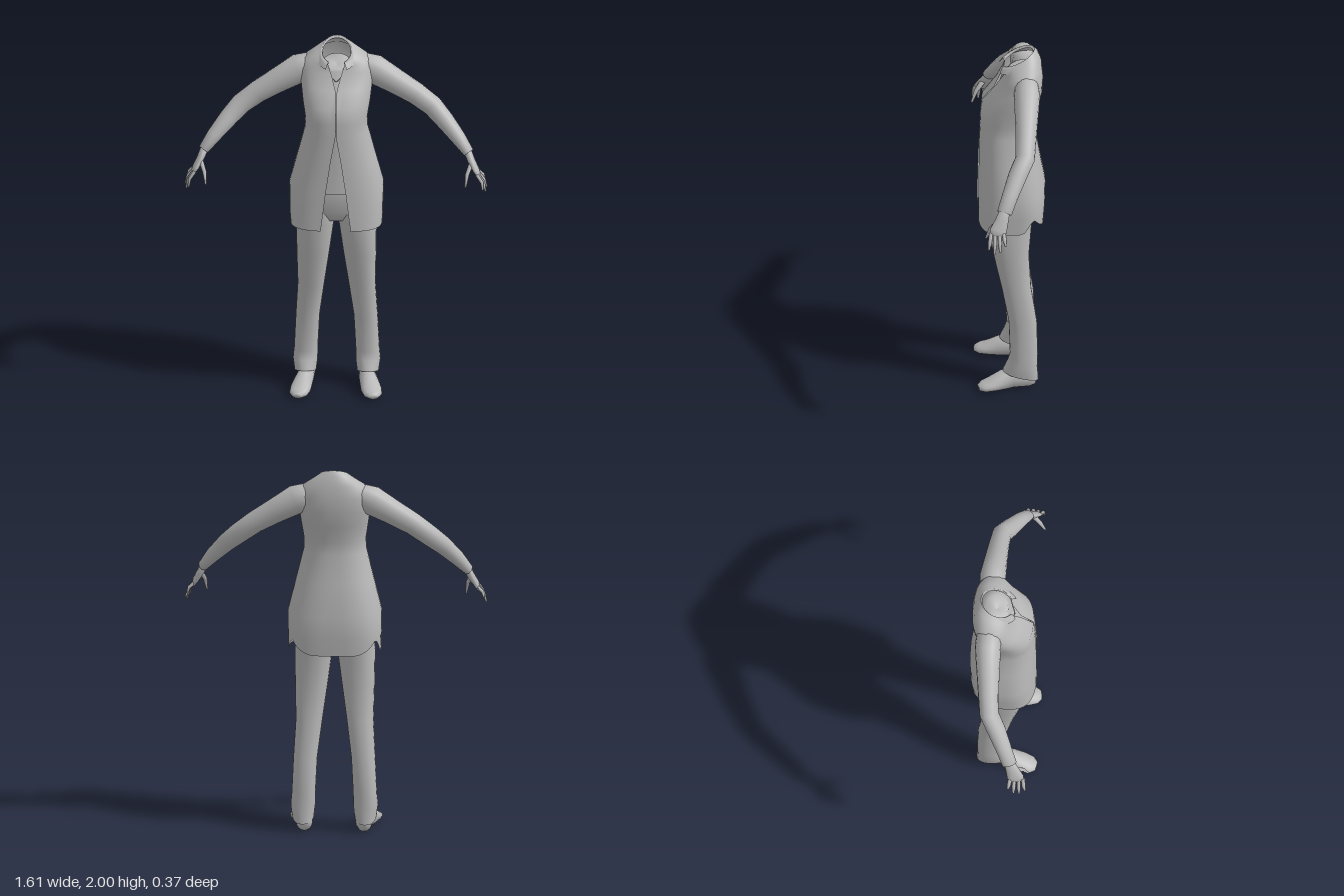
import * as THREE from 'three';

const grey = new THREE.MeshStandardMaterial({ color: 0xb8b8b8, side: THREE.DoubleSide });
grey.name = 'plain grey';

// Skin a list of equally long rows of points; closed rows wrap around
function loft(name, rows, closed = true) {
  const n = rows[0].length, index = [];
  const spans = closed ? n : n - 1;
  for (let i = 0; i < rows.length - 1; i++) {
    for (let j = 0; j < spans; j++) {
      const a = i * n + j, b = i * n + (j + 1) % n;
      index.push(a, b, b + n, a, b + n, a + n);
    }
  }
  const geo = new THREE.BufferGeometry().setFromPoints(rows.flat());
  geo.setIndex(index);
  geo.computeVertexNormals();
  const mesh = new THREE.Mesh(geo, grey);
  mesh.name = name;
  return mesh;
}

// Level superellipse ring starting at the front; gap leaves an opening there
// and tilt lowers the front while raising the back
function ring({ x = 0, y, w, f, b, n = 2, gap = 0, tilt = 0 }, count = 24) {
  const open = gap > 0;
  const t0 = open ? Math.asin(Math.pow(gap / w, n / 2)) : 0;
  const zc = (f + b) / 2, d = (f - b) / 2;
  const pow = (v) => Math.sign(v) * Math.pow(Math.abs(v), 2 / n);
  return Array.from({ length: count }, (_, i) => {
    const t = t0 + (i / (open ? count - 1 : count)) * (2 * Math.PI - 2 * t0);
    return new THREE.Vector3(x + w * pow(Math.sin(t)), y - tilt * Math.cos(t), zc + d * pow(Math.cos(t)));
  });
}

// Capped tube through [x, y, z, radiusA, radiusB]; radiusB lies along ref
function limb(name, pts, ref = new THREE.Vector3(0, 0, 1), count = 12) {
  const p = pts.map((q) => new THREE.Vector3(q[0], q[1], q[2]));
  const rows = p.map((c, i) => {
    const t = p[Math.min(i + 1, p.length - 1)].clone().sub(p[Math.max(i - 1, 0)]).normalize();
    const bAxis = ref.clone().addScaledVector(t, -ref.dot(t)).normalize();
    const aAxis = new THREE.Vector3().crossVectors(bAxis, t);
    return Array.from({ length: count }, (_, j) => {
      const a = (j / count) * Math.PI * 2;
      const v = c.clone().addScaledVector(aAxis, Math.cos(a) * pts[i][3]).addScaledVector(bAxis, Math.sin(a) * pts[i][4]);
      v.y = Math.max(v.y, 0);
      return v;
    });
  });
  const cap = (c) => Array.from({ length: count }, () => c.clone());
  return loft(name, [cap(p[0]), ...rows, cap(p[p.length - 1])]);
}

function makeShirt() {
  const rows = [
    { y: 0.985, w: 0.245, f: 0.178, b: -0.17, n: 3.2, gap: 0.08 },
    { y: 1.08, w: 0.248, f: 0.178, b: -0.178, n: 3, gap: 0.068 },
    { y: 1.2, w: 0.25, f: 0.176, b: -0.182, n: 2.6, gap: 0.054 },
    { y: 1.38, w: 0.205, f: 0.172, b: -0.15, n: 2.4, gap: 0.028 },
    { y: 1.53, w: 0.168, f: 0.166, b: -0.128, n: 2.4, gap: 0.002 },
    { y: 1.6, w: 0.166, f: 0.163, b: -0.13, n: 2.4, gap: 0.002 },
    { y: 1.69, w: 0.18, f: 0.155, b: -0.15, n: 2.4, gap: 0.002 },
    { y: 1.77, w: 0.19, f: 0.088, b: -0.168, n: 2.4, gap: 0.004 },
    { y: 1.85, w: 0.195, f: 0.045, b: -0.17, n: 2.4, gap: 0.028 },
    { y: 1.905, w: 0.17, f: 0.036, b: -0.163, n: 2.2, gap: 0.042, tilt: 0.015 },
    { y: 1.94, w: 0.11, f: 0.042, b: -0.145, gap: 0.045, tilt: 0.035 },
    { y: 1.955, w: 0.078, f: 0.05, b: -0.125, gap: 0.04, tilt: 0.045 },
  ].map((r) => ring(r, 49));
  // side vents in the hem
  rows[0].forEach((v) => {
    v.y += 0.08 * Math.max(0, 1 - Math.abs(v.z + 0.11) / 0.055);
  });
  return loft('shirt', rows, false);
}

function makeCollar() {
  return loft('collar', [
    { y: 1.94, w: 0.074, f: 0.045, b: -0.118, gap: 0.04, tilt: 0.045 },
    { y: 1.955, w: 0.08, f: 0.055, b: -0.125, gap: 0.042, tilt: 0.045 },
    { y: 1.94, w: 0.093, f: 0.068, b: -0.136, gap: 0.048, tilt: 0.042 },
    { y: 1.913, w: 0.108, f: 0.078, b: -0.148, gap: 0.056, tilt: 0.036 },
  ].map((r) => ring(r, 33)), false);
}

export function createModel() {
  const model = new THREE.Group();
  model.name = 'dressedFigure';
  model.add(makeShirt(), makeCollar());

  // layers seen through the shirt openings
  model.add(loft('chest', [
    { y: 1.65, w: 0.15, f: 0.125, b: -0.11 },
    { y: 1.77, w: 0.155, f: 0.062, b: -0.13 },
    { y: 1.85, w: 0.13, f: 0.022, b: -0.13 },
    { y: 1.885, w: 0.07, f: 0.02, b: -0.1, tilt: 0.02 },
    { y: 1.865, w: 0.001, f: -0.039, b: -0.041 },
  ].map((r) => ring(r))));
  model.add(loft('undershirt', [
    { y: 1.19, w: 0.215, f: 0.15, b: -0.145, n: 2.4 },
    { y: 1.4, w: 0.18, f: 0.146, b: -0.125 },
    { y: 1.56, w: 0.145, f: 0.146, b: -0.105 },
  ].map((r) => ring(r))));
  model.add(loft('trouserHips', [
    { y: 1.3, w: 0.19, f: 0.13, b: -0.12 },
    { y: 1.18, w: 0.208, f: 0.138, b: -0.138, n: 2.4 },
    { y: 1.08, w: 0.205, f: 0.135, b: -0.128, n: 2.4 },
    { y: 1.01, w: 0.17, f: 0.1, b: -0.09 },
    { y: 0.99, w: 0.002, f: 0.012, b: 0.008 },
  ].map((r) => ring(r))));

  // necklace
  const chain = new THREE.CatmullRomCurve3([
    [-0.048, 1.9, 0.03], [-0.035, 1.845, 0.04], [0, 1.81, 0.056], [0.035, 1.845, 0.04], [0.048, 1.9, 0.03],
  ].map((q) => new THREE.Vector3(...q)));
  const necklace = new THREE.Mesh(new THREE.TubeGeometry(chain, 24, 0.002, 5), grey);
  necklace.name = 'necklace';
  model.add(necklace);

  for (const [side, label] of [[1, 'left'], [-1, 'right']]) {
    const m = (pts) => pts.map(([x, ...rest]) => [x * side, ...rest]);

    model.add(limb(label + 'Sleeve', m([
      [0.1, 1.865, -0.075, 0.06, 0.06],
      [0.2, 1.825, -0.075, 0.08, 0.07],
      [0.31, 1.76, -0.067, 0.068, 0.062],
      [0.42, 1.693, -0.058, 0.06, 0.055],
      [0.51, 1.625, -0.048, 0.056, 0.052],
      [0.575, 1.563, -0.005, 0.05, 0.05],
      [0.65, 1.48, 0.04, 0.04, 0.043],
      [0.705, 1.41, 0.073, 0.028, 0.04],
    ]), undefined, 16));

    // hand: palm, four fingers and thumb
    const hand = new THREE.Group();
    hand.name = label + 'Hand';
    hand.add(limb('palm', m([
      [0.698, 1.42, 0.07, 0.022, 0.028],
      [0.72, 1.37, 0.088, 0.02, 0.036],
      [0.745, 1.325, 0.107, 0.017, 0.045],
      [0.757, 1.3, 0.115, 0.011, 0.042],
    ])));
    const fingers = [
      [0.08, 0.07, 0.79, 1.255], [0.102, 0.1, 0.8, 1.225],
      [0.125, 0.13, 0.795, 1.212], [0.147, 0.16, 0.782, 1.23],
    ];
    for (const [z0, z1, x1, y1] of fingers) {
      hand.add(limb('finger', m([
        [0.75, 1.315, z0, 0.01, 0.011],
        [(0.757 + x1) / 2 + 0.008, (1.315 + y1) / 2, (z0 + z1) / 2, 0.009, 0.011],
        [x1, y1, z1, 0.005, 0.006],
      ]), undefined, 8));
    }
    hand.add(limb('thumb', m([
      [0.72, 1.365, 0.105, 0.013, 0.015],
      [0.699, 1.315, 0.145, 0.011, 0.012],
      [0.69, 1.25, 0.17, 0.005, 0.006],
    ]), undefined, 8));
    model.add(hand);

    // trouser leg: height, inner x, outer x, front z, back z, tilt
    model.add(loft(label + 'TrouserLeg', [
      [1.1, 0.005, 0.2, 0.132, -0.122, 0],
      [0.98, 0.012, 0.215, 0.13, -0.105, 0],
      [0.8, 0.036, 0.212, 0.1, -0.09, 0],
      [0.6, 0.064, 0.207, 0.057, -0.1, 0],
      [0.4, 0.09, 0.218, 0.02, -0.13, 0],
      [0.2, 0.1, 0.227, 0.014, -0.135, 0],
      [0.14, 0.1, 0.233, 0.028, -0.132, -0.015],
      [0.075, 0.108, 0.224, 0.052, -0.138, -0.03],
    ].map(([y, inner, outer, f, b, tilt]) => ring({
      x: side * (inner + outer) / 2, y, w: (outer - inner) / 2, f, b, tilt, n: 2.3,
    }))));

    model.add(limb(label + 'Shoe', m([
      [0.155, 0.045, -0.122, 0.03, 0.04],
      [0.158, 0.05, -0.09, 0.044, 0.055],
      [0.164, 0.052, 0, 0.045, 0.06],
      [0.174, 0.045, 0.05, 0.05, 0.056],
      [0.188, 0.03, 0.11, 0.056, 0.035],
      [0.198, 0.022, 0.155, 0.05, 0.025],
      [0.204, 0.018, 0.183, 0.026, 0.014],
    ]), new THREE.Vector3(0, 1, 0), 16));
  }
  return model;
}
